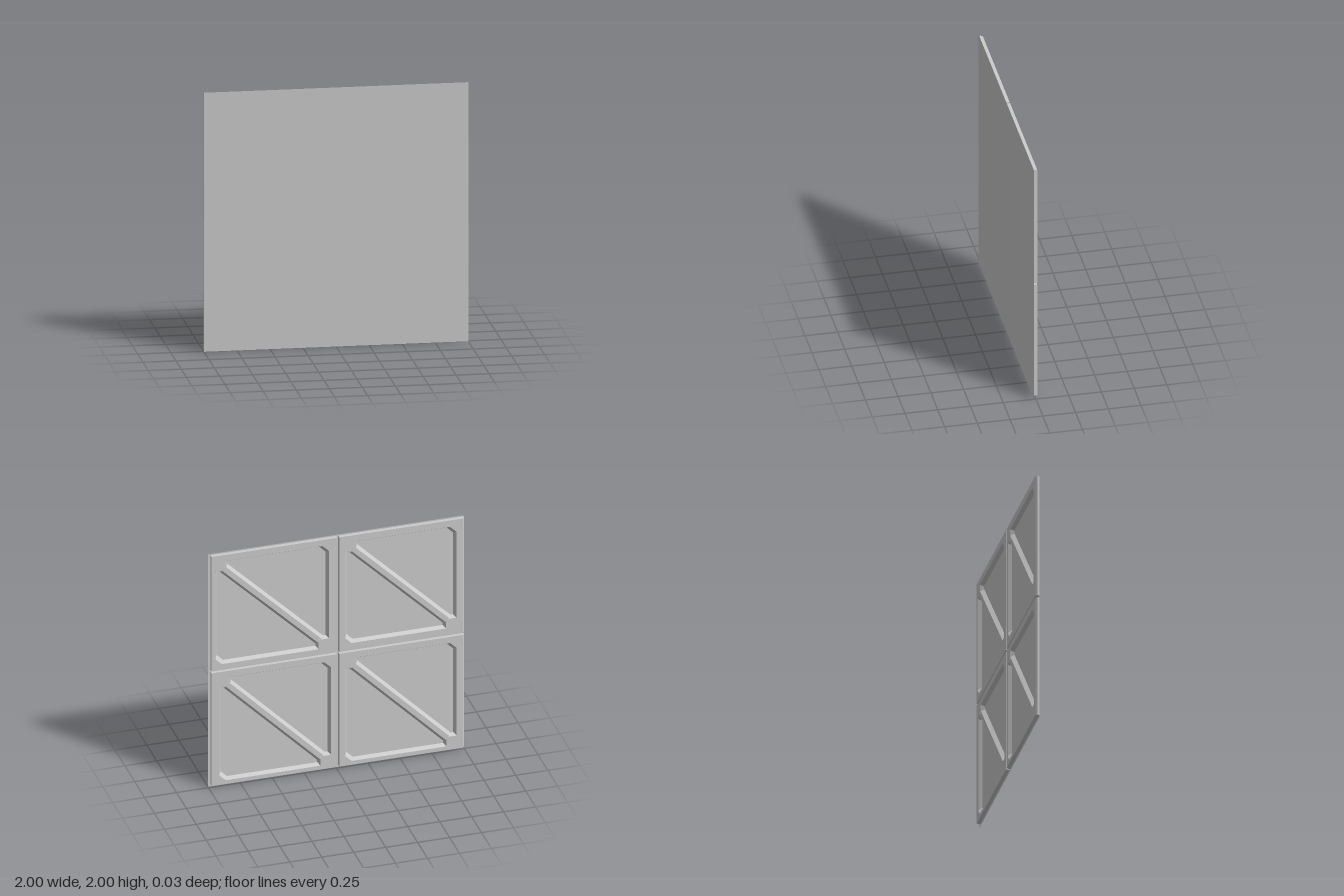
import * as THREE from 'three';

const FRONT = 0.0145, BACK = -0.0145;
const grey = new THREE.MeshStandardMaterial({ color: 0xcccccc, side: THREE.DoubleSide });
grey.name = 'light grey';

const rect = (x0, y0, x1, y1) => [[x0, y0], [x1, y0], [x1, y1], [x0, y1]];
const toV2 = (loop) => loop.map(([x, y]) => new THREE.Vector2(x, y));

// Recess outline: square notches at two corners, chamfers at the other two
function recess([x0, y0, x1, y1], inset) {
  const n = 0.08, c = 0.05;
  x0 += inset; y0 += inset; x1 -= inset; y1 -= inset;
  return [
    [x0 + n, y0], [x1 - c, y0], [x1, y0 + c], [x1, y1 - n], [x1 - n, y1 - n],
    [x1 - n, y1], [x0 + c, y1], [x0, y1 - c], [x0, y0 + n], [x0 + n, y0 + n],
  ];
}

// Faceted band joining two loops at different depths
function band(a, za, b, zb) {
  const pos = [];
  a.forEach((p, i) => {
    const j = (i + 1) % a.length;
    const A = [...p, za], B = [...a[j], za], C = [...b[j], zb], D = [...b[i], zb];
    pos.push(...A, ...C, ...B, ...A, ...D, ...C);
  });
  const g = new THREE.BufferGeometry();
  g.setAttribute('position', new THREE.Float32BufferAttribute(pos, 3));
  g.computeVertexNormals();
  return g;
}

// Flat face looking backwards, with an optional opening
function backFace(loop, z, hole) {
  const shape = new THREE.Shape(toV2(loop));
  if (hole) shape.holes.push(new THREE.Path(toV2(hole)));
  return new THREE.ShapeGeometry(shape).rotateY(Math.PI).scale(-1, 1, 1).translate(0, 0, z);
}

function add(group, name, geometry) {
  const m = new THREE.Mesh(geometry, grey);
  m.name = name;
  group.add(m);
}

// Four points of a strip running diagonally between two corners
function strip([ax, ay], [bx, by], half, extend) {
  const l = Math.hypot(bx - ax, by - ay);
  const dx = (bx - ax) / l, dy = (by - ay) / l;
  const at = (x, y, e, s) => [x + dx * e - dy * s, y + dy * e + dx * s];
  return [at(ax, ay, -extend, -half), at(bx, by, extend, -half),
    at(bx, by, extend, half), at(ax, ay, -extend, half)];
}

function makePanel(name, [x0, y0, x1, y1], opening, chamfer) {
  const g = new THREE.Group();
  g.name = name;
  const outer = rect(x0, y0, x1, y1);
  const rear = rect(x0 + chamfer, y0, x1, y1);

  // Frame with outer edge, rear face and sloping recess walls
  add(g, 'frameEdge', band(outer, FRONT, outer, 0));
  add(g, 'frameRearEdge', band(outer, 0, rear, BACK));
  const rim = recess(opening, 0);
  add(g, 'frameRearFace', backFace(rear, BACK, rim));
  add(g, 'recessWall', band(rim, BACK, recess(opening, 0.018), FRONT));

  // Diagonal brace between the notched corners
  const [a, b, c, d] = opening;
  const p = [a + 0.085, b + 0.085], q = [c - 0.085, d - 0.085];
  const top = strip(p, q, 0.02, 0.02);
  add(g, 'braceSides', band(strip(p, q, 0.042, 0.02), FRONT - 0.0005, top, BACK + 0.001));
  add(g, 'braceTop', backFace(top, BACK + 0.001));
  return g;
}

export function createModel() {
  const model = new THREE.Group();
  model.name = 'panelWall';

  // Thin skin sheets covering the whole front
  for (const x of [-0.5, 0.5]) for (const y of [0.5, 1.5])
    add(model, 'frontSheet', new THREE.PlaneGeometry(1, 1).translate(x, y, FRONT));

  // Four framed panels behind the skin: body bounds, recess bounds, edge chamfer
  model.add(
    makePanel('upperRightPanel', [-1, 1.004, -0.019, 1.99], [-0.935, 1.065, -0.065, 1.935], 0.014),
    makePanel('upperLeftPanel', [-0.003, 1.004, 0.98, 1.99], [0.062, 1.055, 0.95, 1.938], 0),
    makePanel('lowerRightPanel', [-1, 0.0185, -0.019, 0.988], [-0.937, 0.05, -0.065, 0.935], 0.014),
    makePanel('lowerLeftPanel', [-0.003, 0.0185, 0.98, 0.988], [0.047, 0.05, 0.92, 0.935], 0),
  );
  return model;
}
